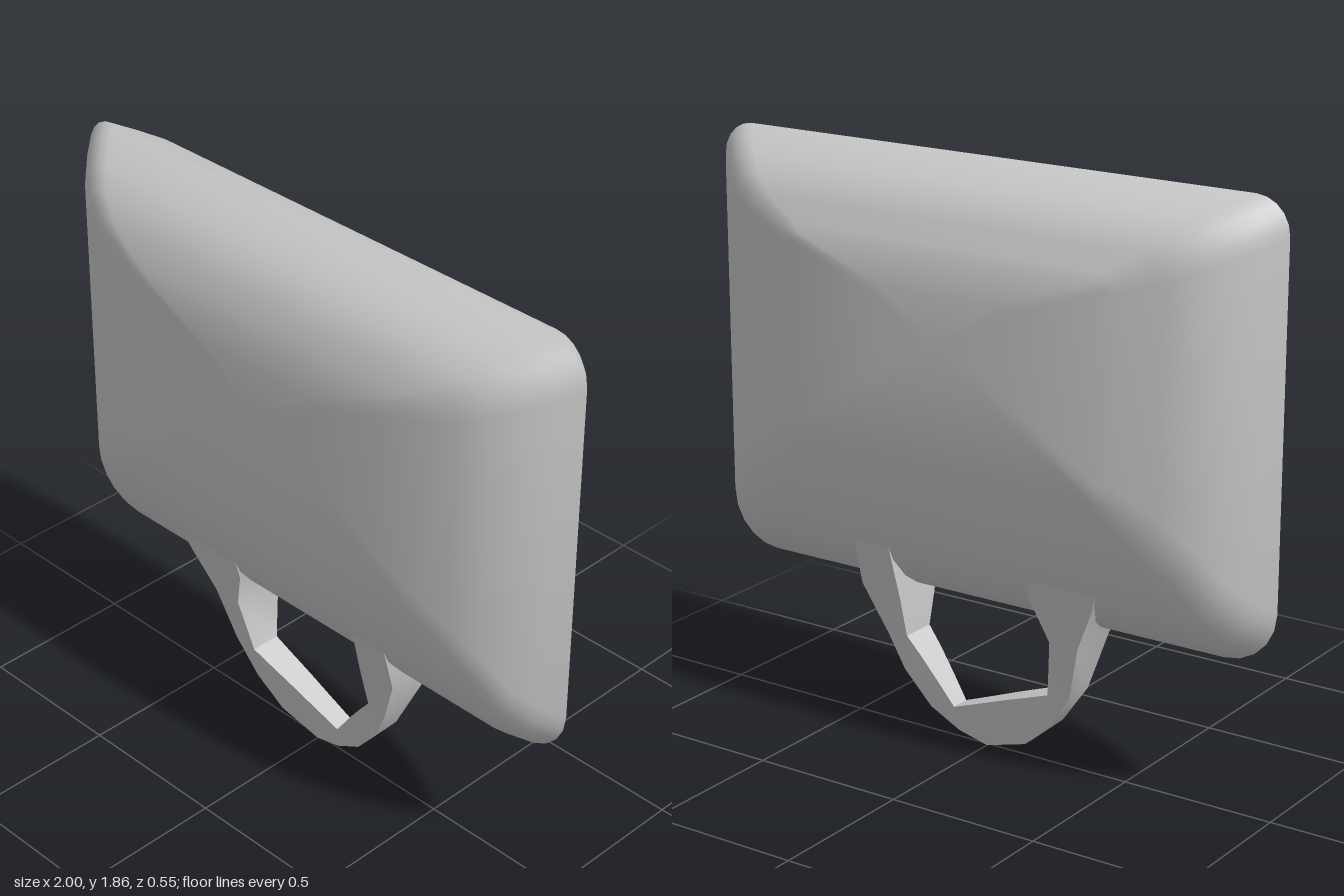
import * as THREE from 'three';
import { toCreasedNormals } from 'three/addons/utils/BufferGeometryUtils.js';

const material = new THREE.MeshStandardMaterial({ color: 0xcccccc, side: THREE.DoubleSide });

// Skin a list of equal-length closed rings of [x, y, z] points
function loft(name, rings, crease) {
  const n = rings[0].length;
  const index = [];
  for (let i = 0; i < rings.length - 1; i++) {
    for (let j = 0; j < n; j++) {
      const k = (j + 1) % n;
      const a = i * n + j, b = (i + 1) * n + j, c = (i + 1) * n + k, d = i * n + k;
      index.push(a, b, c, a, c, d);
    }
  }
  const geometry = new THREE.BufferGeometry();
  geometry.setAttribute('position', new THREE.Float32BufferAttribute(rings.flat(2), 3));
  geometry.setIndex(index);
  const mesh = new THREE.Mesh(toCreasedNormals(geometry, crease), material);
  mesh.name = name;
  return mesh;
}

// Rounded rectangle at depth z, counter-clockwise from the front
function roundedRing(z, halfWidth, bottom, top, scale) {
  const ring = [];
  const steps = 5;
  const corners = [[1, 1, 0.11], [-1, 1, 0.11], [-1, -1, 0.17], [1, -1, 0.17]];
  corners.forEach(([sx, sy, radius], q) => {
    const r = radius * scale;
    const cx = sx * (halfWidth - r);
    const cy = sy > 0 ? top - r : bottom + r;
    for (let s = 0; s <= steps; s++) {
      const t = (q + s / steps) * Math.PI / 2;
      ring.push([cx + r * Math.cos(t), cy + r * Math.sin(t), z]);
    }
  });
  return ring;
}

// Cushion-shaped body: depth, half width, bottom, top, corner scale
function makeBody() {
  const half = [
    [0.06, 0.95, 0.52, 1.832, 1],
    [0.12, 0.89, 0.59, 1.8, 0.95],
    [0.175, 0.82, 0.71, 1.755, 0.85],
    [0.215, 0.73, 0.82, 1.7, 0.7],
    [0.242, 0.59, 0.93, 1.635, 0.5],
  ];
  const frontFace = [[0.258, 0.48, 1.03, 1.59, 0.4], [0.27, 0.25, 1.2, 1.5, 0.3], [0.272, 0, 1.35, 1.35, 0]];
  const backPanel = [[0.254, 0.55, 0.97, 1.615, 0.25], [0.275, 0.24, 1.2, 1.5, 0.25], [0.276, 0, 1.35, 1.35, 0]];
  const sections = [
    ...[...half, ...frontFace].reverse(),
    [0, 1, 0.48, 1.86, 1],
    ...[...half, ...backPanel].map(([z, ...rest]) => [-z, ...rest]),
  ];
  return loft('body', sections.map((s) => roundedRing(...s)), 0.6);
}

// Half thickness of the handle at height y
function handleDepth(y) {
  const table = [[0, 0.012], [0.05, 0.025], [0.2, 0.045], [0.32, 0.06], [0.68, 0.152]];
  for (let i = 1; i < table.length; i++) {
    const [y0, d0] = table[i - 1], [y1, d1] = table[i];
    if (y <= y1) return d0 + (d1 - d0) * (y - y0) / (y1 - y0);
  }
  return 0.152;
}

// Looped handle below the body: outer x, y then inner x, y
function makeHandle() {
  const stations = [
    [-0.49, 0.68, -0.23, 0.68],
    [-0.45, 0.57, -0.23, 0.57],
    [-0.38, 0.43, -0.28, 0.43],
    [-0.33, 0.25, -0.25, 0.24],
    [-0.25, 0.13, -0.18, 0.215],
    [-0.15, 0.045, -0.08, 0.18],
    [0, 0, 0, 0.15],
    [0.1, 0.03, 0.11, 0.11],
    [0.2, 0.09, 0.16, 0.18],
    [0.29, 0.2, 0.22, 0.26],
    [0.34, 0.31, 0.27, 0.32],
    [0.41, 0.48, 0.27, 0.45],
    [0.41, 0.68, 0.28, 0.68],
  ];
  const rings = stations.map(([ox, oy, ix, iy]) => {
    const outer = handleDepth(oy), inner = handleDepth(iy);
    return [[ox, oy, outer], [ix, iy, inner], [ix, iy, -inner], [ox, oy, -outer]];
  });
  return loft('handle', rings, 0.5);
}

export function createModel() {
  const group = new THREE.Group();
  group.name = 'bag';
  group.add(makeBody(), makeHandle());
  return group;
}
